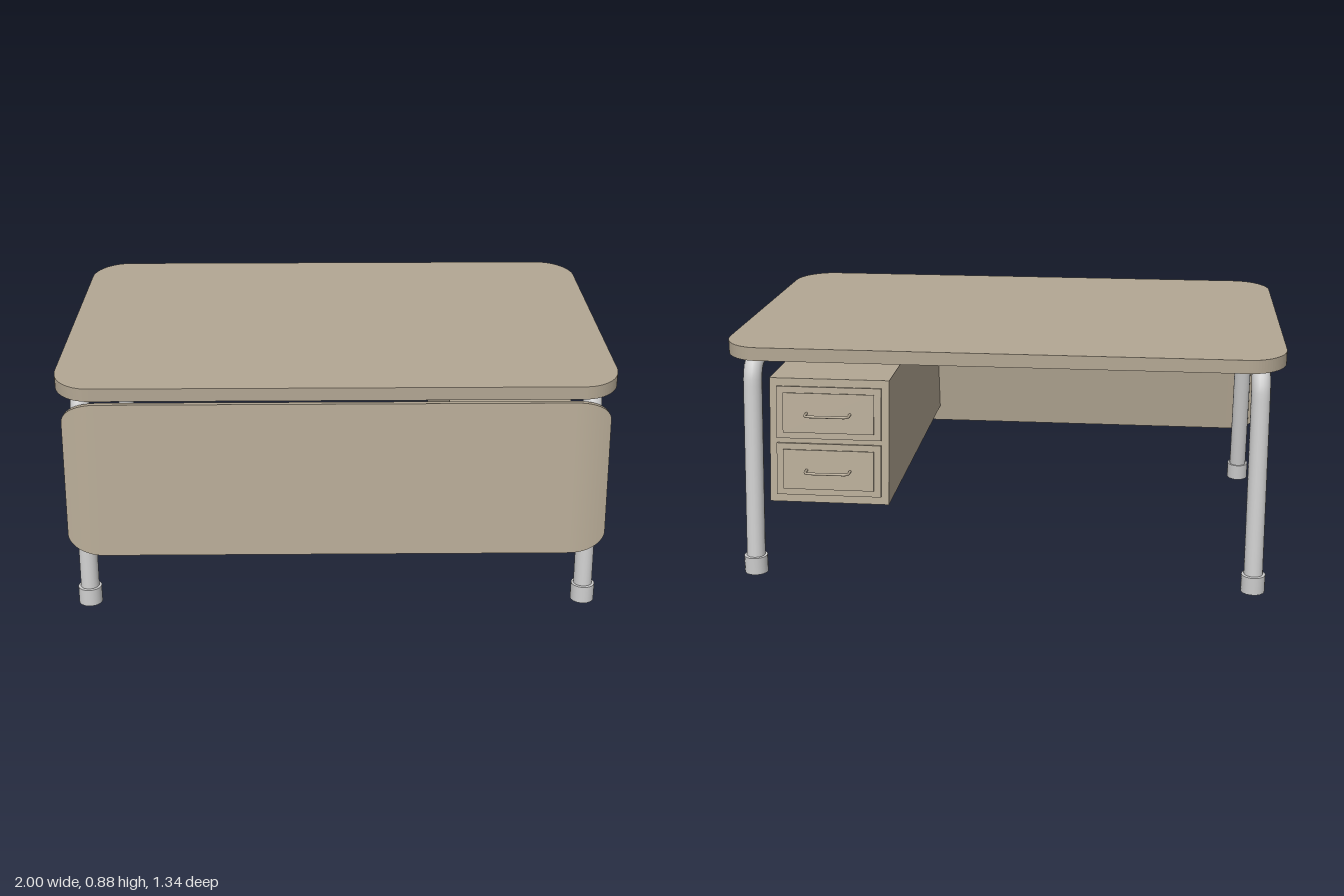
import * as THREE from 'three';

const wood = new THREE.MeshStandardMaterial({ color: 0xb3a793 });
const metal = new THREE.MeshStandardMaterial({ color: 0xcccccc });

const add = (parent, name, geometry, material, x = 0, y = 0, z = 0) => {
  const mesh = new THREE.Mesh(geometry, material);
  mesh.name = name;
  mesh.position.set(x, y, z);
  parent.add(mesh);
  return mesh;
};

// Rectangle with elliptical corners, extruded downwards from the top plane
function topGeometry(hx, hz, rx, rz, thickness) {
  const s = new THREE.Shape();
  s.absellipse(hx - rx, hz - rz, rx, rz, 0, Math.PI / 2);
  s.absellipse(-hx + rx, hz - rz, rx, rz, Math.PI / 2, Math.PI);
  s.absellipse(-hx + rx, -hz + rz, rx, rz, Math.PI, Math.PI * 1.5);
  s.absellipse(hx - rx, -hz + rz, rx, rz, Math.PI * 1.5, Math.PI * 2);
  const g = new THREE.ExtrudeGeometry(s, { depth: thickness, bevelEnabled: false, curveSegments: 10 });
  return g.rotateX(Math.PI / 2);
}

// Thin board with rounded corners whose two ends curl backwards
function panelGeometry(hx, hy, thickness, rx, ry, curl) {
  const n = 26, half = n / 2;
  const g = new THREE.BoxGeometry(2, 2, thickness, n, 1, 1);
  const p = g.attributes.position;
  for (let i = 0; i < p.count; i++) {
    const side = Math.sign(Math.round(p.getX(i) * half));
    const step = Math.abs(Math.round(p.getX(i) * half));
    // first column reaches the corner, the others share the corner arc
    const a = step === 0 ? 0 : ((step - 1) / (half - 1)) * Math.PI / 2;
    const x = step === 0 ? 0 : hx - rx + rx * Math.sin(a);
    const y = hy - ry * (1 - Math.cos(a));
    const bend = step === 0 ? 0 : curl * Math.sin(a) ** 2;
    p.setXYZ(i, side * x, Math.sign(p.getY(i)) * y, p.getZ(i) - bend);
  }
  g.computeVertexNormals();
  return g;
}

// Tube through points with its inner corners rounded
function bentTube(points, round, radius, segments, sides) {
  const path = new THREE.CurvePath();
  let from = points[0];
  for (let i = 1; i < points.length - 1; i++) {
    const c = points[i];
    const a = c.clone().add(points[i - 1].clone().sub(c).setLength(round));
    const b = c.clone().add(points[i + 1].clone().sub(c).setLength(round));
    path.add(new THREE.LineCurve3(from, a));
    path.add(new THREE.QuadraticBezierCurve3(a, c, b));
    from = b;
  }
  path.add(new THREE.LineCurve3(from, points[points.length - 1]));
  return new THREE.TubeGeometry(path, segments, radius, sides, false);
}

const v = (x, y, z) => new THREE.Vector3(x, y, z);

// Leg frame: one bent tube plus two foot caps
function legFrame(x) {
  const g = new THREE.Group();
  g.name = 'legFrame';
  const tube = bentTube(
    [v(0, 0.04, 0.625), v(0, 0.794, 0.54), v(0, 0.794, -0.53), v(0, 0.04, -0.623)],
    0.075, 0.034, 110, 18);
  add(g, 'legTube', tube, metal);
  const foot = new THREE.CylinderGeometry(0.043, 0.043, 0.065, 20);
  add(g, 'frontFoot', foot, metal, 0, 0.036, 0.627).rotation.x = -0.06;
  add(g, 'backFoot', foot, metal, 0, 0.043, -0.623);
  g.position.x = x;
  return g;
}

// Drawer front: bordered board with a raised centre and a bar handle
function drawer(y, tilt) {
  const g = new THREE.Group();
  g.name = 'drawer';
  g.position.y = y;
  add(g, 'drawerFront', new THREE.BoxGeometry(0.385, 0.19, 0.024), wood);
  add(g, 'drawerInset', new THREE.BoxGeometry(0.335, 0.145, 0.012), wood, 0, 0, -0.013);
  const handle = bentTube(
    [v(-0.08, 0, 0), v(-0.08, 0, -0.048), v(0.08, 0, -0.048), v(0.08, 0, 0)],
    0.018, 0.005, 48, 8);
  add(g, 'drawerHandle', handle, wood, 0, 0, -0.01).rotation.x = -tilt;
  return g;
}

// Drawer cabinet: a box whose ends slope with the legs and the front panel
function cabinet() {
  const g = new THREE.Group();
  g.name = 'drawerCabinet';
  const yMid = 0.51, xMid = 0.63, slope = 0.155;
  const box = new THREE.BoxGeometry(0.44, 0.45, 2);
  const p = box.attributes.position;
  for (let i = 0; i < p.count; i++) {
    const y = p.getY(i);
    p.setZ(i, p.getZ(i) > 0 ? 0.612 - 0.124 * y : -0.575 + slope * y);
  }
  box.computeVertexNormals();
  add(g, 'cabinetBody', box, wood, xMid, yMid, 0);

  const face = new THREE.Group();
  face.name = 'drawers';
  const tilt = Math.atan(slope);
  face.position.set(xMid, yMid, -0.575);
  face.rotation.x = tilt;
  for (const y of [0.104, -0.104]) face.add(drawer(y, tilt));
  g.add(face);
  return g;
}

export function createModel() {
  const model = new THREE.Group();
  model.name = 'desk';
  add(model, 'deskTop', topGeometry(1, 0.655, 0.14, 0.165, 0.048), wood, 0, 0.876, 0);
  const panel = add(model, 'frontPanel', panelGeometry(0.976, 0.286, 0.025, 0.13, 0.072, 0.028),
    wood, 0, 0.504, 0.623);
  panel.rotation.x = -Math.atan(0.124);
  for (const x of [-0.913, 0.913]) model.add(legFrame(x));
  model.add(cabinet());
  return model;
}
